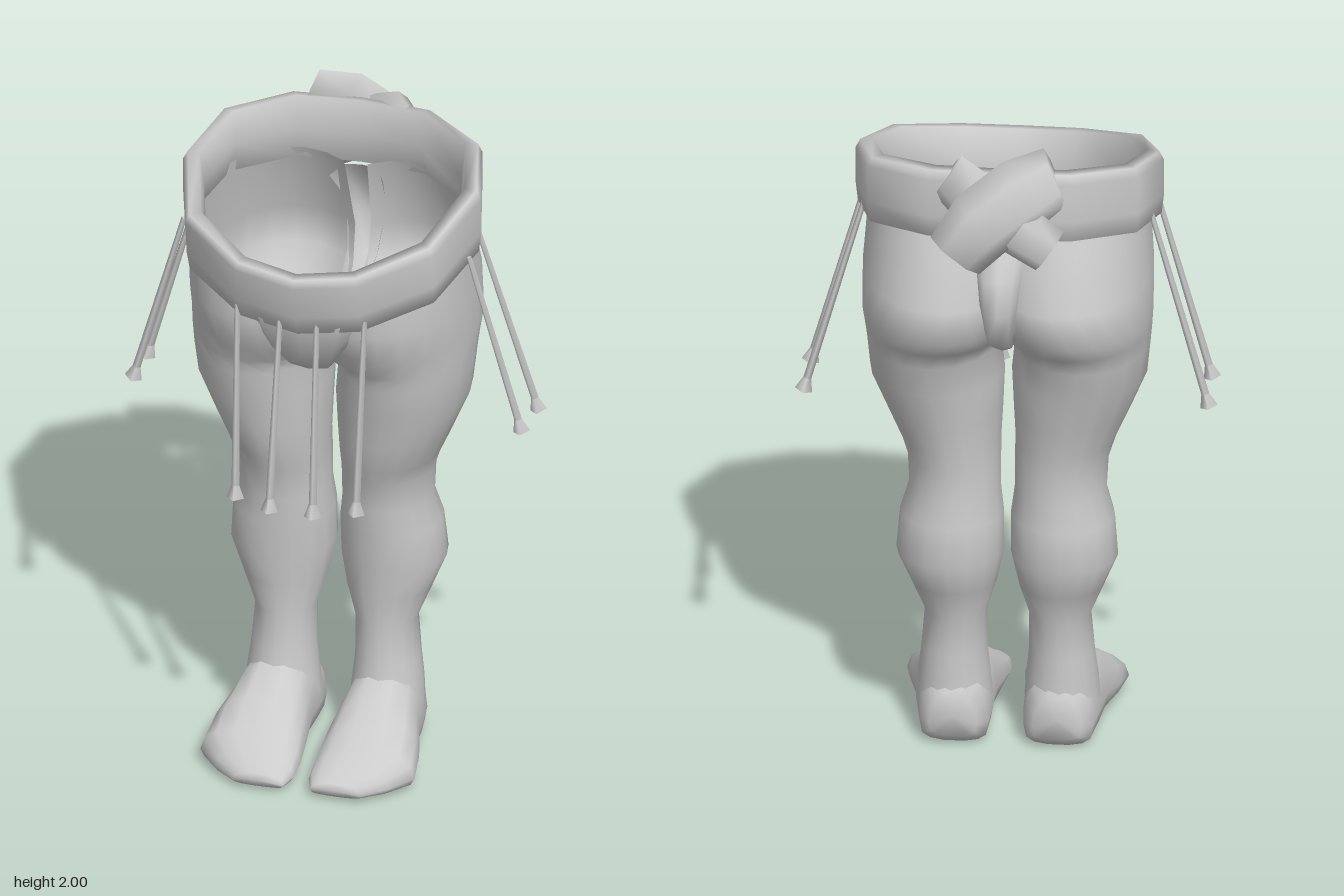
import * as THREE from 'three';
import { mergeVertices } from 'three/addons/utils/BufferGeometryUtils.js';

const material = new THREE.MeshStandardMaterial({ color: 0xcccccc, side: THREE.DoubleSide });
const TAU = Math.PI * 2;

// Skin a list of rings (each a list of [x, y, z]) with smooth normals
function loft(name, rings) {
  const n = rings[0].length, index = [];
  for (let i = 0; i < rings.length - 1; i++) {
    for (let j = 0; j < n - 1; j++) {
      const a = i * n + j, b = a + 1, c = a + n, d = c + 1;
      index.push(a, c, b, b, c, d);
    }
  }
  let geo = new THREE.BufferGeometry();
  geo.setAttribute('position', new THREE.Float32BufferAttribute(rings.flat(2), 3));
  geo.setIndex(index);
  geo = mergeVertices(geo, 1e-4);
  geo.computeVertexNormals();
  const mesh = new THREE.Mesh(geo, material);
  mesh.name = name;
  return mesh;
}

const steps = (n, f) => Array.from({ length: n + 1 }, (_, j) => f(j / n));

// Height of the belt edges, dropping toward the front
const beltBottom = z => 1.66 - 0.16 * z - (z > 0 ? 0.42 * z * z : 0);
const beltTop = z => 1.86 - 0.2 * z - (z > 0 ? 0.3 * z * z : 0);

// Leg: rings open on the inner side above the crotch
function makeLeg() {
  const rows = [ // y, inner x, outer x, back z, front z, opening
    [0.12, 0.045, 0.265, -0.155, 0.09, 0],
    [0.20, 0.052, 0.26, -0.152, 0.075, 0],
    [0.28, 0.06, 0.25, -0.15, 0.06, 0],
    [0.40, 0.06, 0.24, -0.15, 0.05, 0],
    [0.50, 0.03, 0.28, -0.19, 0.06, 0],
    [0.60, 0.01, 0.32, -0.23, 0.07, 0],
    [0.72, 0.01, 0.31, -0.22, 0.085, 0],
    [0.80, 0.02, 0.285, -0.205, 0.09, 0],
    [0.90, 0.02, 0.29, -0.21, 0.105, 0],
    [0.96, 0.02, 0.31, -0.22, 0.14, 0],
    [1.05, 0.015, 0.35, -0.235, 0.16, 0],
    [1.17, 0.01, 0.40, -0.27, 0.19, 0],
    [1.27, 0.02, 0.41, -0.295, 0.215, 0],
    [1.325, -0.02, 0.415, -0.32, 0.235, 0.55],
    [1.39, -0.05, 0.42, -0.385, 0.265, 0.8],
    [1.50, -0.08, 0.42, -0.395, 0.315, 0.95],
    [null, -0.09, 0.405, -0.285, 0.295, 1.05],
  ];
  return loft('leg', rows.map(([y, x0, x1, z0, z1, open]) => steps(16, u => {
    const t = (u * 2 - 1) * (Math.PI - open);
    const x = (x0 + x1) / 2 + (x1 - x0) / 2 * Math.cos(t);
    const z = (z0 + z1) / 2 + (z1 - z0) / 2 * Math.sin(t);
    return [x, y ?? beltBottom(z) + 0.05, z];
  })));
}

// Foot: cross-sections from heel to toe, squared off at the sole
function makeFoot() {
  const rows = [ // z, centre x, half width, bottom, top
    [-0.165, 0.15, 0, 0.1, 0.1],
    [-0.16, 0.15, 0.07, 0.035, 0.17],
    [-0.12, 0.15, 0.10, 0, 0.22],
    [-0.03, 0.155, 0.112, 0.008, 0.26],
    [0.06, 0.16, 0.118, 0.016, 0.245],
    [0.17, 0.168, 0.14, 0.016, 0.185],
    [0.26, 0.17, 0.15, 0.01, 0.125],
    [0.325, 0.14, 0.118, 0.01, 0.085],
    [0.375, 0.115, 0.075, 0.015, 0.055],
    [0.38, 0.115, 0, 0.035, 0.035],
  ];
  return loft('foot', rows.map(([z, cx, w, y0, y1]) => steps(14, u => {
    const c = Math.cos(u * TAU), s = -Math.sin(u * TAU);
    const mid = y0 + (y1 - y0) * 0.3;
    const y = s > 0 ? mid + (y1 - mid) * s : mid - (mid - y0) * Math.sqrt(-s);
    return [cx + w * Math.sign(c) * Math.abs(c) ** 0.8, y, z];
  })));
}

// Loincloth: a strip from the front, under the crotch and up the back
function makeLoincloth() {
  const path = [ // y, z, half width
    [1.62, 0.355, 0.2], [1.54, 0.358, 0.185], [1.43, 0.325, 0.135], [1.34, 0.25, 0.085],
    [1.275, 0.11, 0.05], [1.27, -0.08, 0.04], [1.31, -0.23, 0.04], [1.39, -0.37, 0.045],
    [1.5, -0.41, 0.055], [1.6, -0.385, 0.065], [1.71, -0.31, 0.08],
  ];
  return loft('loincloth', path.map(([y, z, w]) => {
    const len = Math.hypot(1.62 - y, z);
    return [-1, -0.65, 0, 0.65, 1].map(k => {
      const fold = Math.abs(k) === 1 ? 0.06 : k ? 0.008 : 0;
      return [k * w, y + fold * (1.62 - y) / len, z - fold * z / len];
    });
  }));
}

// Belt: a thick profile carried around a twelve-sided outline
function makeBelt() {
  const half = [[0, 0.425], [0.18, 0.39], [0.37, 0.25], [0.445, 0], [0.39, -0.205], [0.21, -0.32], [0, -0.335]];
  const outline = [...half, ...half.slice(0, -1).reverse().map(([x, z]) => [-x, z])];
  const profile = [ // scale, height fraction
    [0.92, 0.03], [0.985, 0], [1, 0.3], [1, 0.85], [0.97, 0.98], [0.89, 1], [0.86, 0.5], [0.92, 0.03],
  ];
  return loft('belt', outline.map(([x, z]) => profile.map(([s, f]) => {
    const slant = z > 0 ? 1 - 0.13 * (1 - f) : 1;
    return [x * s, THREE.MathUtils.lerp(beltBottom(z), beltTop(z), f), z * s * slant];
  })));
}

// Flattened cloth band along a path of [x, y, z, half width, half thickness]
function makeBand(name, path) {
  const points = path.map(p => new THREE.Vector3(...p));
  const zAxis = new THREE.Vector3(0, 0, 1);
  const rings = path.map(([x, y, z, w, h], i) => {
    const dir = points[Math.min(i + 1, path.length - 1)].clone().sub(points[Math.max(i - 1, 0)]);
    const side = dir.cross(zAxis).normalize();
    return steps(6, u => {
      const c = Math.cos(u * TAU) * w, s = Math.sin(u * TAU) * h;
      return [x + side.x * c, y + side.y * c, z + s];
    });
  });
  const cap = i => rings[0].map(() => points[i].toArray());
  return loft(name, [cap(0), ...rings, cap(path.length - 1)]);
}

// Tassel: thin cord with a flared end
function makeTassel(top, bottom) {
  const a = new THREE.Vector3(...top), b = new THREE.Vector3(...bottom);
  const up = a.clone().sub(b), length = up.length();
  const tassel = new THREE.Group();
  tassel.name = 'tassel';
  const cord = new THREE.Mesh(new THREE.CylinderGeometry(0.008, 0.012, length, 4), material);
  cord.name = 'cord';
  const tip = new THREE.Mesh(new THREE.CylinderGeometry(0.01, 0.026, 0.045, 4), material);
  tip.name = 'cordTip';
  tip.position.y = 0.0225 - length / 2;
  tassel.add(cord, tip);
  tassel.position.copy(a).add(b).multiplyScalar(0.5);
  tassel.quaternion.setFromUnitVectors(new THREE.Vector3(0, 1, 0), up.normalize());
  return tassel;
}

export function createModel() {
  const model = new THREE.Group();
  model.name = 'beltedLegs';

  // Mirrored halves: leg, foot and four tassels each
  for (const side of [1, -1]) {
    const half = new THREE.Group();
    half.name = side > 0 ? 'leftSide' : 'rightSide';
    half.add(makeLeg(), makeFoot());
    half.add(makeTassel([0.055, 1.56, 0.358], [0.065, 0.96, 0.435]));
    half.add(makeTassel([0.19, 1.57, 0.33], [0.18, 0.96, 0.385]));
    half.add(makeTassel([0.425, 1.67, 0.06], [0.58, 1.115, 0.05]));
    half.add(makeTassel([0.415, 1.69, -0.07], [0.585, 1.1, -0.112]));
    half.scale.x = side;
    model.add(half);
  }

  model.add(makeLoincloth(), makeBelt());

  // Knot: two crossing bands at the back of the belt
  const knot = new THREE.Group();
  knot.name = 'knot';
  knot.add(
    makeBand('knotOuterBand', [
      [-0.16, 1.915, -0.31, 0.095, 0.025], [-0.07, 1.88, -0.36, 0.115, 0.05],
      [0.04, 1.8, -0.395, 0.11, 0.055], [0.12, 1.7, -0.415, 0.09, 0.035],
    ]),
    makeBand('knotInnerBand', [
      [0.15, 1.905, -0.31, 0.075, 0.03], [0.08, 1.86, -0.345, 0.085, 0.05],
      [-0.04, 1.78, -0.365, 0.085, 0.05], [-0.15, 1.71, -0.38, 0.075, 0.03],
    ]),
  );
  model.add(knot);
  return model;
}
